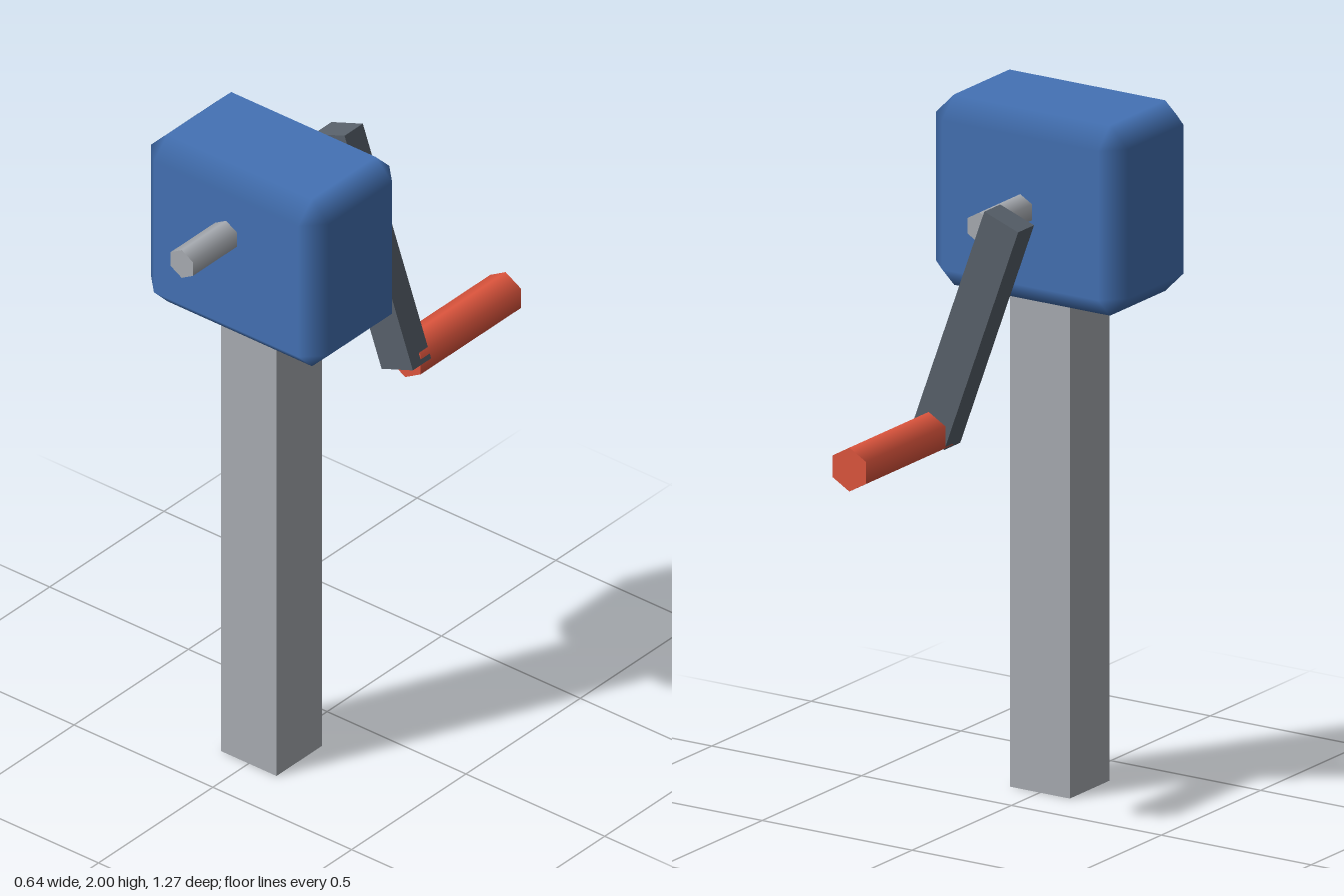
import * as THREE from 'three';
import { ConvexGeometry } from 'three/addons/geometries/ConvexGeometry.js';

const material = (color) => new THREE.MeshStandardMaterial({ color });

// Box with one chamfer per edge; normals blend across the chamfers, faces stay flat
function chamferedBox(width, height, depth, chamfer) {
  const half = [width / 2, height / 2, depth / 2];
  const points = [];
  for (const sx of [-1, 1]) for (const sy of [-1, 1]) for (const sz of [-1, 1]) {
    for (let axis = 0; axis < 3; axis++) {
      const p = [sx, sy, sz].map((s, i) => s * (half[i] - (i === axis ? 0 : chamfer)));
      points.push(new THREE.Vector3(...p));
    }
  }
  const geometry = new ConvexGeometry(points);
  const { position, normal } = geometry.attributes;
  for (let i = 0; i < position.count; i++) {
    const p = [position.getX(i), position.getY(i), position.getZ(i)];
    normal.setXYZ(i, ...p.map((v, k) => (Math.abs(v) > half[k] - chamfer / 2 ? Math.sign(v) : 0)));
  }
  return geometry;
}

export function createModel() {
  const model = new THREE.Group();
  model.name = 'crankBox';
  const grey = material(0xa9adb3);
  const blue = material(0x4472b5);
  const slate = material(0x59626c);
  const red = material(0xe0563e);

  const add = (name, geometry, mat, x, y, z) => {
    const mesh = new THREE.Mesh(geometry, mat);
    mesh.name = name;
    mesh.position.set(x, y, z);
    model.add(mesh);
    return mesh;
  };

  // Six-sided rod lying along z, a corner pointing up
  const addRod = (name, mat, radius, x, y, zBack, zFront) => {
    const geometry = new THREE.CylinderGeometry(radius, radius, zFront - zBack, 6);
    geometry.rotateX(Math.PI / 2);
    return add(name, geometry, mat, x, y, (zBack + zFront) / 2);
  };

  // Post and housing
  add('post', new THREE.BoxGeometry(0.2, 1.45, 0.2), grey, 0, 0.725, 0.243);
  add('housing', chamferedBox(0.64, 0.555, 0.398, 0.06), blue, 0, 1.7225, 0.243);

  // Shafts in front of and behind the housing
  addRod('frontShaft', grey, 0.046, 0, 1.804, 0.24, 0.636);
  addRod('rearShaft', grey, 0.046, 0, 1.724, -0.16, 0.24);

  // Tilted crank arm with its grip
  const arm = add('crankArm', new THREE.BoxGeometry(0.12, 0.72, 0.08), slate, 0, 1.445, -0.197);
  arm.rotation.z = THREE.MathUtils.degToRad(20);
  addRod('crankGrip', red, 0.064, 0.119, 1.124, -0.636, -0.197);

  return model;
}
